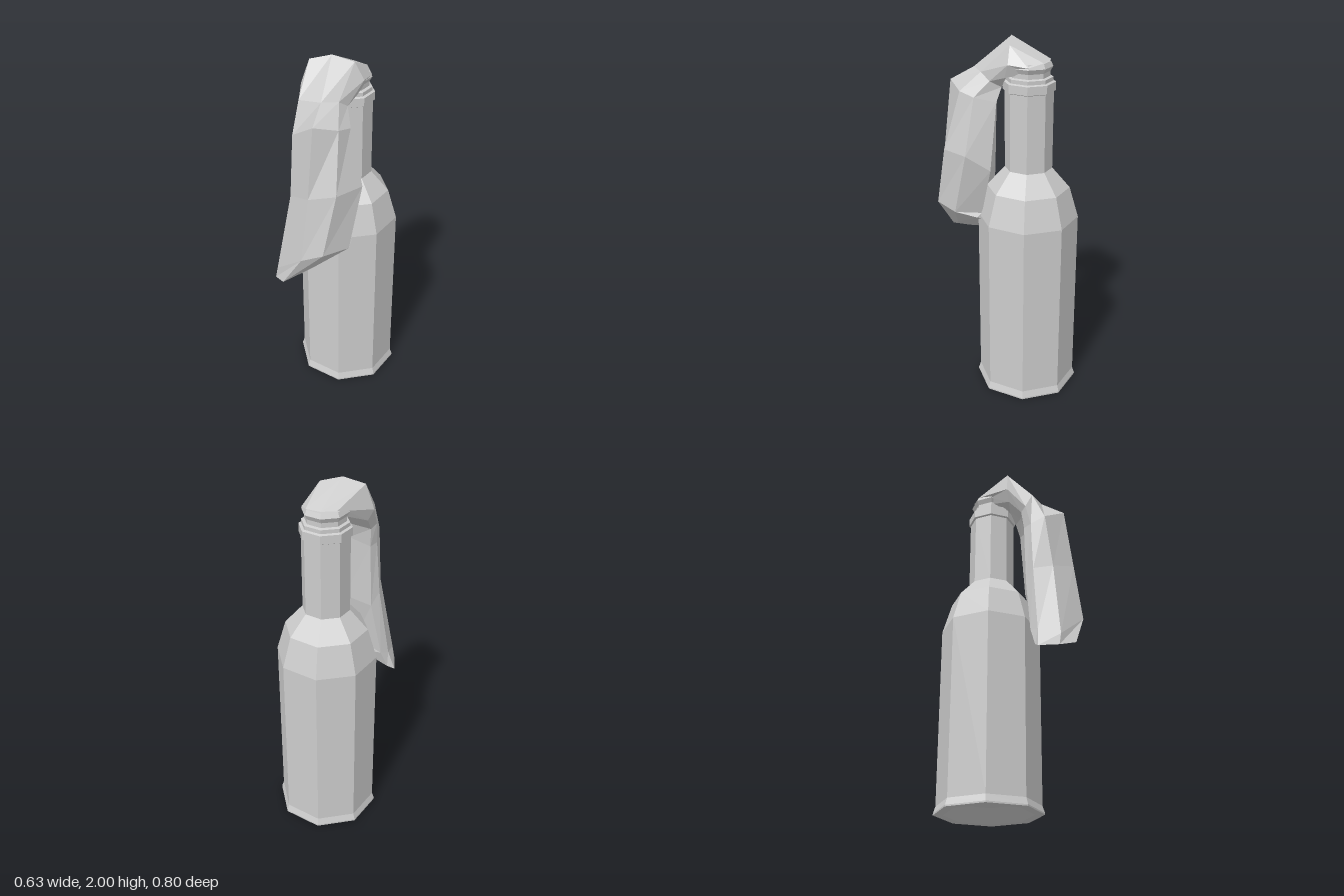
import * as THREE from 'three';

const grey = new THREE.MeshStandardMaterial({ color: 0xcccccc });
grey.name = 'plain grey';
grey.flatShading = true;
grey.side = THREE.DoubleSide;

// Closes a ring: three inside points follow the line from its right edge to its left,
// lowered by drop and pushed back by depth, with the fold strongest on the right
function closeRing([drop, depth, ...outside]) {
  const left = outside[0];
  const right = outside[outside.length - 1];
  const inside = [[0.1, 1], [0.5, 0.5], [0.9, 0.4]].map(([t, fold]) => {
    const [x, y, z] = right.map((v, k) => v + (left[k] - v) * t);
    return [x, y - drop, z - depth * fold];
  });
  return [...outside, ...inside];
}

// Closed skin over a row of equal-length rings, with a fan cap at each end
function loft(rings) {
  const pos = [];
  const tri = (a, b, c) => pos.push(...a, ...b, ...c);
  const mid = (r) => [0, 1, 2].map((k) => r.reduce((s, p) => s + p[k], 0) / r.length);
  const n = rings[0].length;
  const first = rings[0];
  const last = rings[rings.length - 1];
  for (let j = 0; j < n; j++) {
    const k = (j + 1) % n;
    for (let i = 0; i < rings.length - 1; i++) {
      const a = rings[i], b = rings[i + 1];
      tri(a[j], b[j], a[k]);
      tri(a[k], b[j], b[k]);
    }
    tri(mid(first), first[j], first[k]);
    tri(mid(last), last[k], last[j]);
  }
  const g = new THREE.BufferGeometry();
  g.setAttribute('position', new THREE.Float32BufferAttribute(pos, 3));
  g.computeVertexNormals();
  return g;
}

export function createModel() {
  const model = new THREE.Group();
  model.name = 'bottleWithRag';

  // Eight-sided bottle with a hollow base, shoulder, neck ring and lip
  const profile = [
    [0, 0.06], [0.11, 0.06], [0.235, 0], [0.287, 0], [0.287, 0.008], [0.275, 0.045],
    [0.275, 1.03], [0.225, 1.2], [0.128, 1.31], [0.128, 1.73], [0.138, 1.735],
    [0.138, 1.78], [0.124, 1.785], [0.124, 1.805], [0.108, 1.81], [0.108, 1.835],
    [0.122, 1.86], [0.11, 1.885], [0, 1.885],
  ].map(([r, y]) => new THREE.Vector2(r, y));
  const bottle = new THREE.Mesh(new THREE.LatheGeometry(profile, 8), grey);
  bottle.name = 'bottle';
  bottle.position.set(0.028, 0, -0.113);
  model.add(bottle);

  // Rag: drop and depth of the inside, then the outside from left to right
  const folds = [
    // mouth
    [0.03, 0, [-0.07, 1.87, -0.12], [-0.045, 1.89, -0.19], [0.03, 1.895, -0.225], [0.11, 1.89, -0.19], [0.148, 1.87, -0.115]],
    // ridge
    [0.07, -0.02, [-0.2, 1.84, -0.015], [-0.155, 1.97, -0.015], [-0.04, 2, -0.015], [0.075, 1.97, -0.015], [0.125, 1.88, -0.01]],
    // bend
    [0.03, 0.06, [-0.2, 1.72, 0.09], [-0.18, 1.81, 0.13], [-0.055, 1.83, 0.185], [0.025, 1.82, 0.14], [0.06, 1.78, 0.09]],
    // upper fall
    [0.02, 0.11, [-0.2, 1.6, 0.12], [-0.2, 1.65, 0.2], [-0.07, 1.755, 0.315], [0.045, 1.72, 0.25], [0.09, 1.7, 0.17]],
    // lower fall
    [0.08, 0.12, [-0.22, 1.3, 0.13], [-0.21, 1.32, 0.24], [-0.09, 1.38, 0.36], [0.05, 1.4, 0.34], [0.16, 1.4, 0.21]],
    // hem
    [0, 0.13, [-0.28, 0.9, 0.15], [-0.29, 0.87, 0.27], [-0.125, 1.03, 0.4], [-0.01, 1.07, 0.395], [0.105, 1.06, 0.28]],
    // lower edge
    [0, 0.04, [-0.32, 0.79, 0.15], [-0.305, 0.8, 0.26], [-0.24, 0.84, 0.35], [-0.1, 0.91, 0.3], [0.1, 1.03, 0.16]],
  ];
  const rag = new THREE.Mesh(loft(folds.map(closeRing)), grey);
  rag.name = 'rag';
  model.add(rag);

  return model;
}
